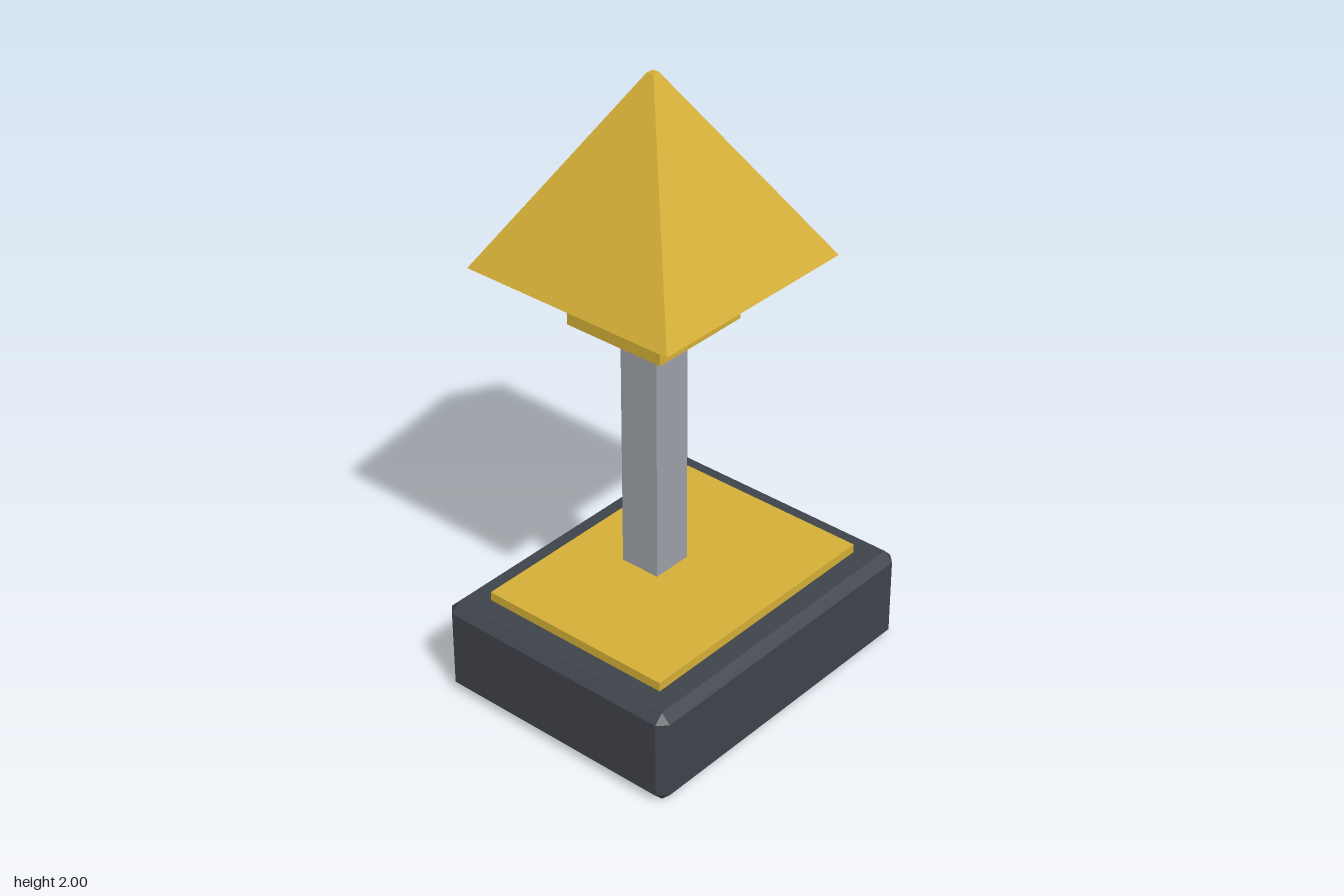
import * as THREE from 'three';
import { ConvexGeometry } from 'three/addons/geometries/ConvexGeometry.js';

const material = (name, color) => {
  const m = new THREE.MeshStandardMaterial({ color, flatShading: true });
  m.name = name;
  return m;
};

// Box with every edge chamfered by b
function chamferedBox(w, h, d, b) {
  const half = [w / 2, h / 2, d / 2];
  const points = [];
  for (const sx of [-1, 1]) for (const sy of [-1, 1]) for (const sz of [-1, 1])
    for (let axis = 0; axis < 3; axis++) {
      const p = [sx, sy, sz].map((s, i) => s * (half[i] - (i === axis ? 0 : b)));
      points.push(new THREE.Vector3(...p));
    }
  return new ConvexGeometry(points);
}

export function createModel() {
  const model = new THREE.Group();
  model.name = 'pyramidOnPedestal';
  const gold = material('gold', 0xd4af37);
  const dark = material('charcoal', 0x3f434a);
  const steel = material('steel', 0x9ca0a8);

  const add = (name, geometry, mat, y, z) => {
    const mesh = new THREE.Mesh(geometry, mat);
    mesh.name = name;
    mesh.position.set(0, y, z);
    model.add(mesh);
  };

  // Base and its top plate
  add('base', chamferedBox(1.12, 0.32, 0.88, 0.03), dark, 0.16, 0.01);
  add('topPlate', new THREE.BoxGeometry(0.92, 0.03, 0.68), gold, 0.335, 0.01);

  // Post, set slightly back, with a collar
  add('post', new THREE.BoxGeometry(0.14, 0.85, 0.14), steel, 0.775, -0.07);
  add('collar', new THREE.BoxGeometry(0.36, 0.2, 0.36), gold, 1.3, -0.07);

  // Pyramid with a tiny flat tip
  const pyramid = new THREE.CylinderGeometry(0.012 * Math.SQRT2, 0.38 * Math.SQRT2, 0.6, 4);
  pyramid.rotateY(Math.PI / 4);
  add('pyramid', pyramid, gold, 1.7, -0.07);

  return model;
}
